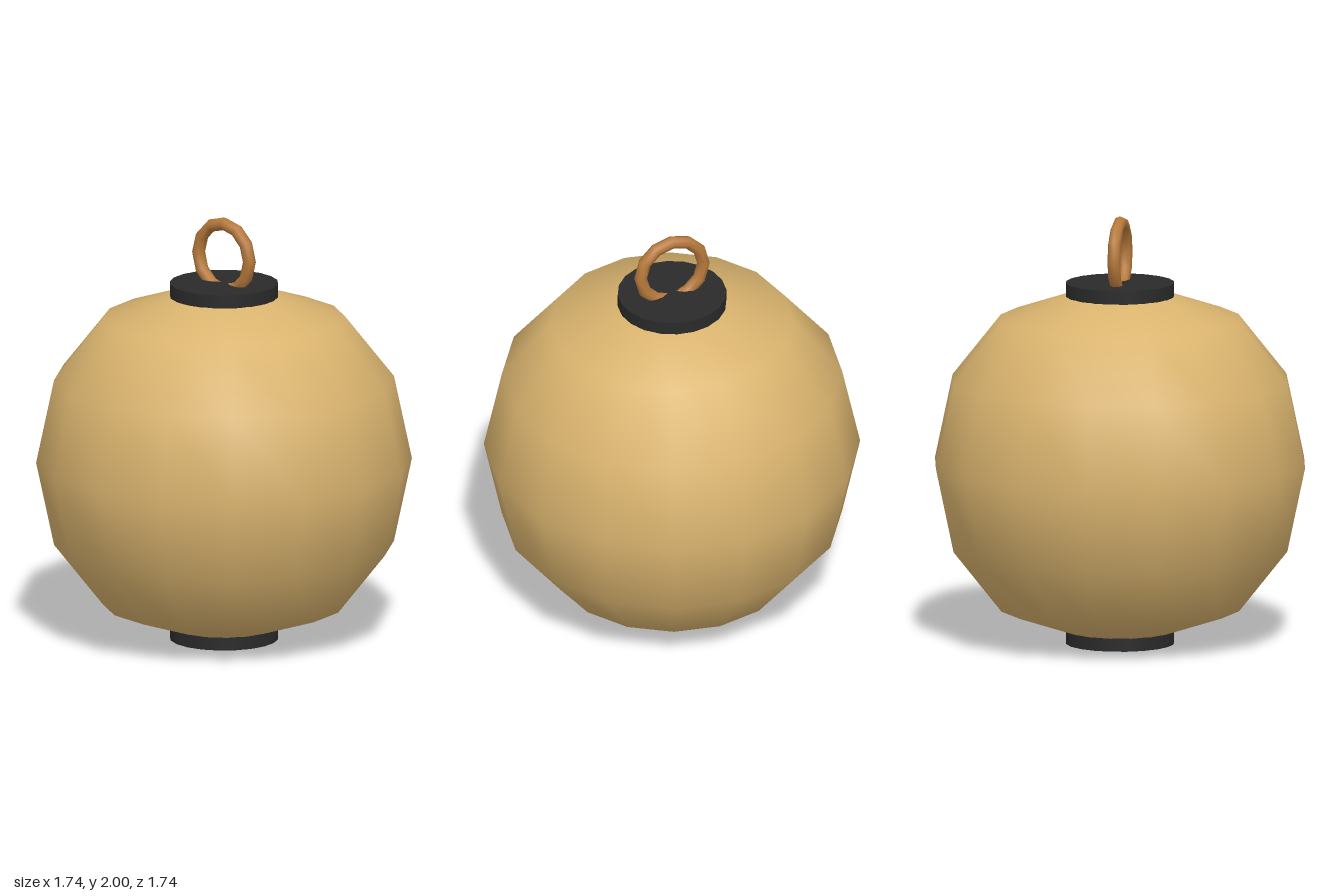
import * as THREE from 'three';

export function createModel() {
  const model = new THREE.Group();
  model.name = 'paperLantern';

  const paper = new THREE.MeshStandardMaterial({ color: 0xd9b36e });
  paper.name = 'tan paper';
  const black = new THREE.MeshStandardMaterial({ color: 0x2a2a2a });
  black.name = 'black cap';
  const copper = new THREE.MeshStandardMaterial({ color: 0xb87a3c });
  copper.name = 'copper';

  const add = (name, geometry, material, y) => {
    const mesh = new THREE.Mesh(geometry, material);
    mesh.name = name;
    mesh.position.y = y;
    model.add(mesh);
  };

  // Rounded shade: half an ellipse offset from the axis, turned in 16 sides
  const profile = [];
  for (let i = -3; i <= 3; i++) {
    const a = (i * Math.PI) / 6;
    profile.push(new THREE.Vector2(0.25 + 0.62 * Math.cos(a), 0.784 * Math.sin(a)));
  }
  add('shade', new THREE.LatheGeometry(profile, 16), paper, 0.844);

  // End caps
  const capHeight = 0.063;
  const cap = new THREE.CylinderGeometry(0.252, 0.252, capHeight, 20);
  add('bottomCap', cap, black, capHeight / 2);
  add('topCap', cap, black, 1.69 - capHeight / 2);

  // Hanging ring, sunk into the top cap
  add('hangingRing', new THREE.TorusGeometry(0.158, 0.03, 8, 12), copper, 1.812);

  return model;
}
